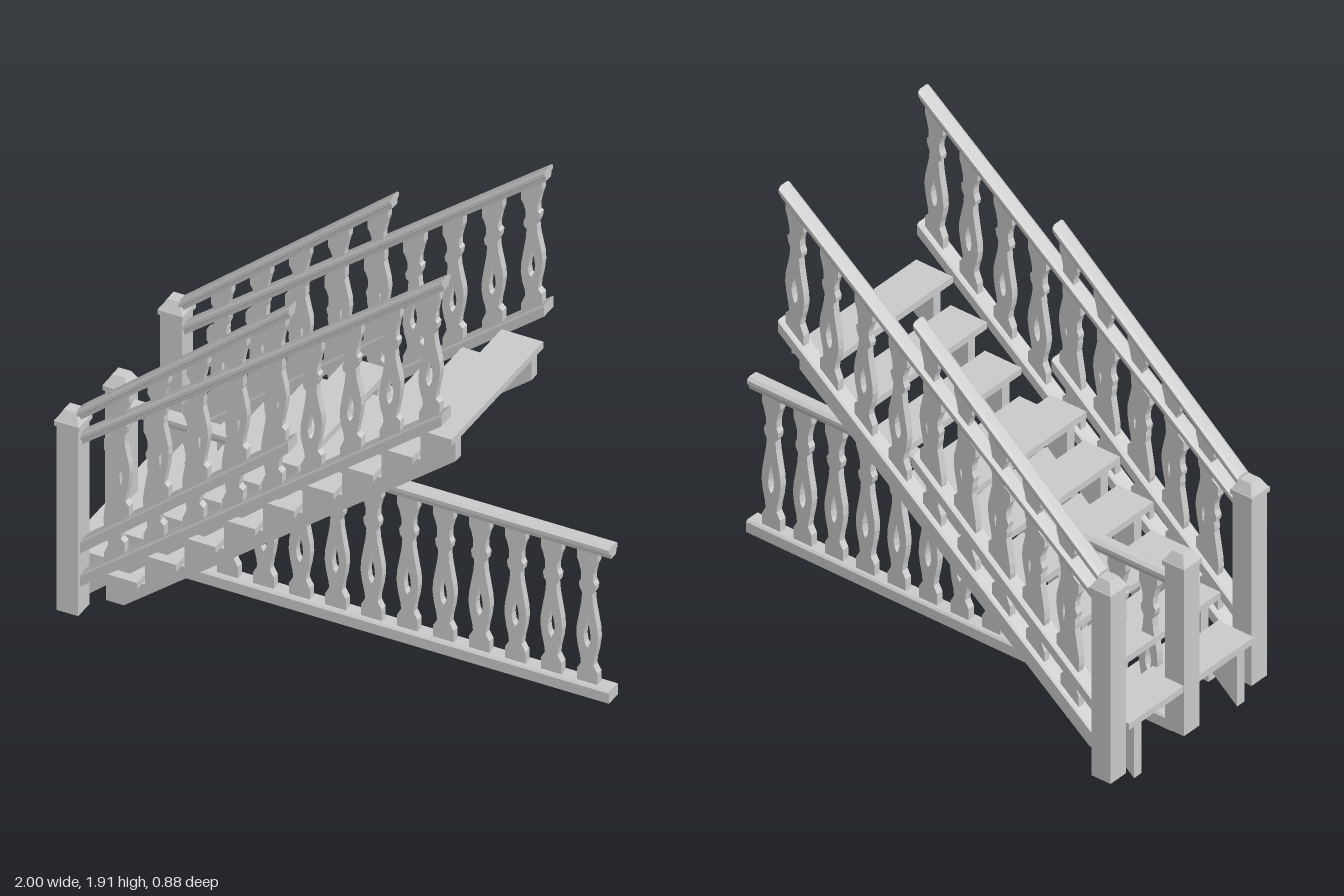
import * as THREE from 'three';

const mat = new THREE.MeshStandardMaterial({ color: 0xcccccc, side: THREE.DoubleSide });

function add(parent, geo, name, x = 0, y = 0, z = 0) {
  const m = new THREE.Mesh(geo, mat);
  m.name = name;
  m.position.set(x, y, z);
  parent.add(m);
  return m;
}

// Slants a geometry so that y follows x
function shear(geo, slope) {
  const p = geo.attributes.position;
  for (let i = 0; i < p.count; i++) p.setY(i, p.getY(i) + slope * p.getX(i));
  geo.computeVertexNormals();
  return geo;
}

function polygon(points) {
  return new THREE.Shape(points.map(([x, y]) => new THREE.Vector2(x, y)));
}

// Rail with vertical ends; y0 and y1 are the heights of its top edge
function rail(parent, name, x0, y0, x1, y1, h, w, z, moulded) {
  const a = w / 2;
  const section = moulded
    ? [[-a * 0.6, -h], [a * 0.6, -h], [a * 0.7, -h * 0.6], [a, -h * 0.5], [a, -h * 0.2], [a * 0.6, 0],
      [-a * 0.6, 0], [-a, -h * 0.2], [-a, -h * 0.5], [-a * 0.7, -h * 0.6]]
    : [[-a, -h], [a, -h], [a, -h * 0.15], [a * 0.8, 0], [-a * 0.8, 0], [-a, -h * 0.15]];
  const geo = new THREE.ExtrudeGeometry(polygon(section), { depth: x1 - x0, bevelEnabled: false });
  geo.rotateY(Math.PI / 2);
  add(parent, shear(geo, (y1 - y0) / (x1 - x0)), name, x0, y0, z);
}

// Sawn flat baluster: [height fraction, half width] and a teardrop hole
const outline = [[0, 0.041], [0.1, 0.041], [0.12, 0.034], [0.15, 0.025], [0.2, 0.028], [0.27, 0.037],
  [0.35, 0.043], [0.42, 0.041], [0.5, 0.033], [0.6, 0.023], [0.67, 0.02], [0.7, 0.03], [0.74, 0.033],
  [0.77, 0.024], [0.82, 0.024], [0.88, 0.032], [0.92, 0.041], [1, 0.041]];
const teardrop = [[0.27, 0], [0.3, 0.01], [0.35, 0.014], [0.4, 0.011], [0.48, 0]];

function mirrored(half, h) {
  return [...half.map(([t, w]) => [w, t * h]), ...[...half].reverse().map(([t, w]) => [-w, t * h])];
}

function balusterGeometry(h, slope) {
  const shape = polygon(mirrored(outline, h));
  shape.holes.push(polygon(mirrored(teardrop, h).filter((p, i, all) =>
    i === 0 || p[1] !== all[i - 1][1] || p[0] !== 0).slice(0, -1).reverse()));
  const geo = new THREE.ExtrudeGeometry(shape, { depth: 0.03, bevelEnabled: false });
  geo.translate(0, 0, -0.015);
  return shear(geo, slope);
}

// Row of balusters between two rails
function balustrade(name, r, z) {
  const g = new THREE.Group();
  g.name = name;
  const span = r.x1 - r.x0;
  rail(g, 'handrail', r.x0, r.top[0], r.x1, r.top[1], 0.05, 0.062, z, true);
  rail(g, 'bottomRail', r.x0, r.bottom[0], r.x1, r.bottom[1], 0.05, 0.07, z, false);
  const slope = (r.bottom[1] - r.bottom[0]) / span;
  const gap = r.top[1] - r.bottom[1] - 0.03;
  const geo = balusterGeometry(gap, slope);
  for (let i = 0; i < r.count; i++) {
    const x = r.last - i * r.step;
    add(g, geo, 'baluster', x, r.bottom[0] + slope * (x - r.x0) - 0.01, z);
  }
  return g;
}

// Open flight of treads on two sawtooth stringers
function flight(name, f) {
  const g = new THREE.Group();
  g.name = name;
  const t = 0.028;
  const pts = [[f.x1 - 0.005, f.low], [f.x1 - 0.005, f.y1 - t]];
  for (let i = 0; i < f.count; i++) {
    const left = f.x1 - (i + 1) * f.run, y = f.y1 - i * f.rise;
    add(g, new THREE.BoxGeometry(f.run + 0.01, t, 0.69), 'tread', left + f.run / 2 - 0.005, y - t / 2, 0);
    pts.push([left + 0.012, y - t]);
    if (i < f.count - 1) pts.push([left + 0.012, y - f.rise - t]);
  }
  const end = f.x1 - f.count * f.run + f.foot;
  pts[pts.length - 1][0] = end;
  const yEnd = f.low + f.slope * (end - f.x1);
  pts.push([end, Math.max(f.floor, yEnd)]);
  if (yEnd < f.floor) pts.push([f.x1 - (f.low - f.floor) / f.slope, f.floor]);
  const geo = new THREE.ExtrudeGeometry(polygon(pts), { depth: 0.04, bevelEnabled: false });
  for (const s of [-1, 1]) add(g, geo, 'stringer', 0, 0, s * 0.285 - 0.02);
  return g;
}

// Newel post with collar and low domed cap
function post(name, x, z, top) {
  const g = new THREE.Group();
  g.name = name;
  const shaft = top - 0.06 - 0.045;
  add(g, new THREE.BoxGeometry(0.086, shaft, 0.086), 'shaft', 0, 0.045 + shaft / 2, 0);
  add(g, new THREE.BoxGeometry(0.1, 0.02, 0.1), 'collar', 0, top - 0.05, 0);
  const cap = new THREE.CylinderGeometry(0.035, 0.066, 0.04, 4).toNonIndexed();
  cap.rotateY(Math.PI / 4);
  cap.computeVertexNormals();
  add(g, cap, 'cap', 0, top - 0.02, 0);
  g.position.set(x, 0, z);
  return g;
}

export function createModel() {
  const model = new THREE.Group();
  model.name = 'staircase';

  // Long flight and the short flight overlapping its lower end
  model.add(flight('longFlight', {
    x1: 0.54, y1: 1.197, count: 9, run: 0.156, rise: 0.1256, low: 1.08, slope: 0.78, floor: 0.05, foot: 0.012 }));
  model.add(flight('shortFlight', {
    x1: -0.07, y1: 0.888, count: 6, run: 0.152, rise: 0.1256, low: 0.77, slope: 0.842, floor: 0, foot: 0 }));

  // Sloping balustrades and posts on both sides
  for (const s of [-1, 1]) {
    const side = s > 0 ? 'front' : 'back';
    model.add(balustrade(side + 'LongBalustrade', {
      x0: -0.91, x1: 0.54, top: [0.795, 1.915], bottom: [0.2, 1.35], count: 9, last: 0.48, step: 0.156 }, s * 0.385));
    model.add(balustrade(side + 'ShortBalustrade', {
      x0: -0.91, x1: -0.07, top: [0.9, 1.605], bottom: [0.34, 1.04], count: 5, last: -0.13, step: 0.155 }, s * 0.385));
    model.add(post(side + 'Post', -0.937, s * 0.39, 0.89));
  }

  // Level balustrade along the middle
  model.add(balustrade('levelBalustrade', {
    x0: -0.93, x1: 1, top: [0.69, 0.69], bottom: [0.085, 0.085], count: 13, last: 0.903, step: 0.1425 }, 0));
  model.add(post('middlePost', -0.95, 0, 0.8));
  return model;
}
